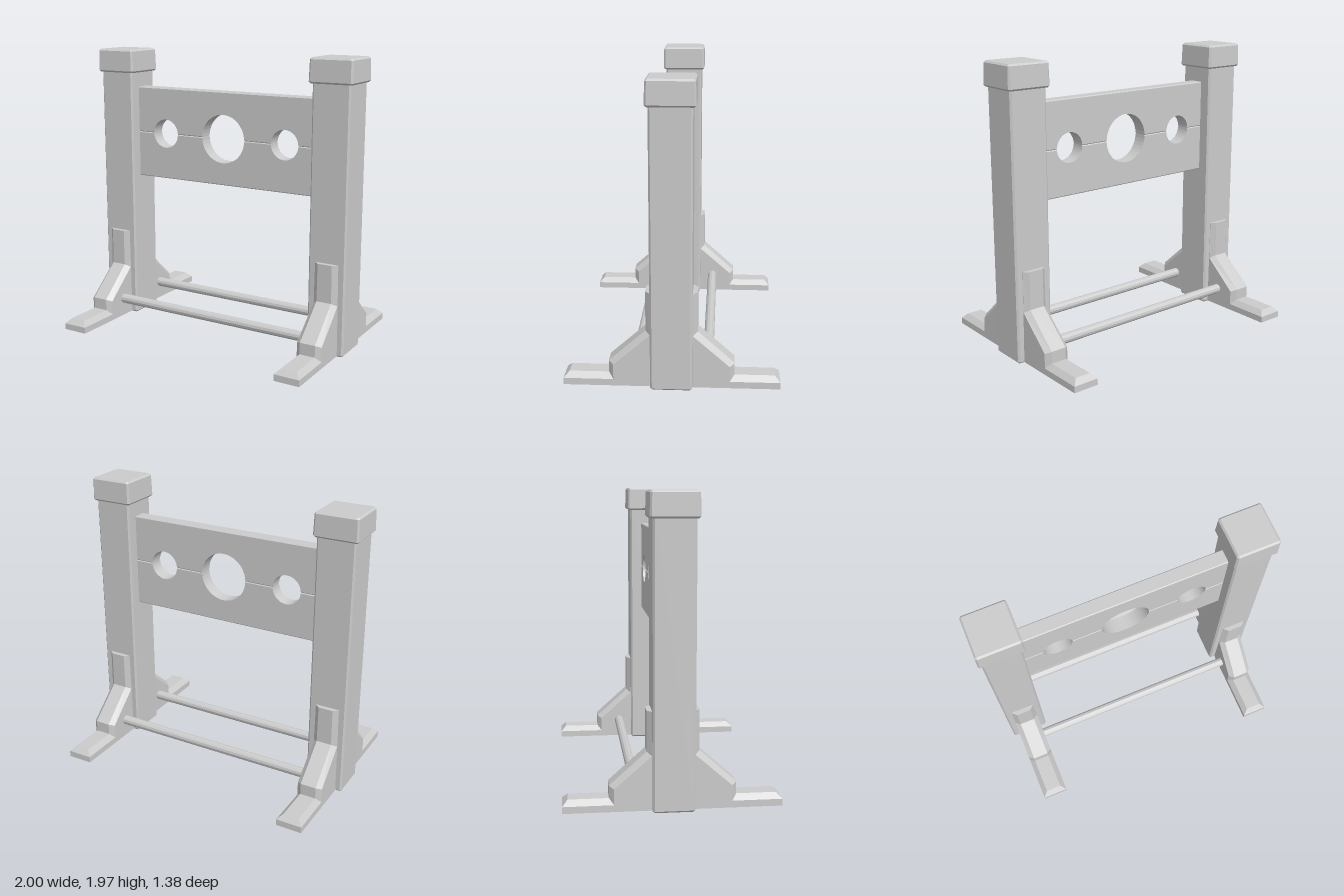
import * as THREE from 'three';

const mat = new THREE.MeshStandardMaterial({ color: 0xcccccc, flatShading: true });

function mesh(name, geo) {
  const m = new THREE.Mesh(geo, mat);
  m.name = name;
  return m;
}

// Square upright block, standing on y = 0, with all edges chamfered by b
function chamferedBlock(width, height, b) {
  const h = width / 2, k = h - b;
  const shape = new THREE.Shape([
    [h, -k], [h, k], [k, h], [-k, h], [-h, k], [-h, -k], [-k, -h], [k, -h],
  ].map(([x, y]) => new THREE.Vector2(x, y)));
  const geo = new THREE.ExtrudeGeometry(shape, {
    depth: height - 2 * b, bevelEnabled: true, bevelSegments: 1,
    bevelThickness: b, bevelSize: b, bevelOffset: -b,
  });
  return geo.translate(0, 0, b).rotateX(-Math.PI / 2);
}

// Lower half of the board, its seam on y = 0, with half-round cutouts
function boardHalf() {
  const holes = [[0.48, 0.103], [0, 0.17], [-0.48, 0.103]];
  const s = new THREE.Shape();
  s.moveTo(-0.75, -0.327);
  s.lineTo(0.75, -0.327);
  s.lineTo(0.75, 0);
  for (const [x, r] of holes) {
    s.lineTo(x + r, 0);
    s.absarc(x, 0, r, 0, -Math.PI, true);
  }
  s.lineTo(-0.75, 0);
  const b = 0.006;
  const geo = new THREE.ExtrudeGeometry(s, {
    depth: 0.098 - 2 * b, curveSegments: 10, bevelEnabled: true, bevelSegments: 1,
    bevelThickness: b, bevelSize: b, bevelOffset: -b,
  }).translate(0, 0, -0.049 + b);
  // Chamfer the straight edges only: pull the hole rims back to full radius
  const p = geo.attributes.position;
  for (let i = 0; i < p.count; i++) {
    for (const [cx, r] of holes) {
      const dx = p.getX(i) - cx, dy = p.getY(i), d = Math.hypot(dx, dy);
      if (d < r + 0.01) p.setXY(i, cx + dx * r / d, dy * r / d);
    }
  }
  geo.computeVertexNormals();
  return geo;
}

// Foot and brace: side profile [z, y], and the narrower ridge profile above it
const side = [[0.69, 0.05], [0.37, 0.05], [0.37, 0.15], [0.135, 0.355], [0.135, 0.635]];
const ridge = [[0.655, 0.085], [0.4, 0.085], [0.4, 0.165], [0.165, 0.375], [0.165, 0.635]];

// Braces narrow slightly towards the top
function taper(geo, amount) {
  const p = geo.attributes.position;
  for (let i = 0; i < p.count; i++) {
    const f = 1 - amount * p.getY(i);
    p.setX(i, p.getX(i) * f);
  }
  geo.computeVertexNormals();
  return geo;
}

function braceBody() {
  const half = [[0.69, 0.006], ...side];
  const outline = [...half, ...half.map(([z, y]) => [-z, y]).reverse()];
  const shape = new THREE.Shape(outline.map(([z, y]) => new THREE.Vector2(z, y)));
  const geo = new THREE.ExtrudeGeometry(shape, { depth: 0.18, bevelEnabled: false })
    .translate(0, 0, -0.09).rotateY(-Math.PI / 2);
  return taper(geo, 0.12);
}

// Chamfered strip running up the front of a brace
function braceRidge() {
  const pos = [], index = [], n = side.length;
  for (let i = 0; i < n; i++) {
    const [sz, sy] = side[i], [rz, ry] = ridge[i];
    pos.push(-0.09, sy, sz, -0.055, ry, rz, 0.055, ry, rz, 0.09, sy, sz);
  }
  for (let i = 0; i < n - 1; i++) {
    for (let j = 0; j < 3; j++) {
      const a = i * 4 + j, c = a + 4;
      index.push(a, a + 1, c, a + 1, c + 1, c);
    }
  }
  // Sloped toe and flat top
  const e = (n - 1) * 4;
  index.push(0, 3, 2, 0, 2, 1, e, e + 1, e + 2, e, e + 2, e + 3);
  const geo = new THREE.BufferGeometry();
  geo.setAttribute('position', new THREE.Float32BufferAttribute(pos, 3));
  geo.setIndex(index);
  return taper(geo.toNonIndexed(), 0.12);
}

// Post cap flaring slightly towards its lower edge
function capGeometry() {
  const geo = chamferedBlock(0.307, 0.165, 0.012);
  const p = geo.attributes.position;
  for (let i = 0; i < p.count; i++) {
    const f = 1 - 0.03 * p.getY(i) / 0.165;
    p.setX(i, p.getX(i) * f);
    p.setZ(i, p.getZ(i) * f);
  }
  geo.computeVertexNormals();
  return geo;
}

export function createModel() {
  const model = new THREE.Group();
  model.name = 'stocks';

  // Posts with caps and braced feet
  for (const [label, sx] of [['left', 1], ['right', -1]]) {
    const upright = new THREE.Group();
    upright.name = label + 'Upright';
    upright.position.x = sx * 0.847;
    const cap = mesh('cap', capGeometry());
    cap.position.y = 1.807;
    upright.add(mesh('post', chamferedBlock(0.266, 1.85, 0.012)), cap, mesh('foot', braceBody()));
    const front = mesh('frontBrace', braceRidge());
    const back = mesh('backBrace', braceRidge());
    back.rotation.y = Math.PI;
    upright.add(front, back);
    model.add(upright);
  }

  // Two board halves meeting at the seam
  const lower = mesh('lowerBoard', boardHalf());
  const upper = mesh('upperBoard', boardHalf());
  upper.rotation.x = Math.PI;
  lower.position.y = upper.position.y = 1.377;
  model.add(lower, upper);

  // Round rails between the feet
  for (const [label, z] of [['front', 0.23], ['back', -0.23]]) {
    const rail = mesh(label + 'Rail', new THREE.CylinderGeometry(0.034, 0.034, 1.6, 12));
    rail.rotation.z = Math.PI / 2;
    rail.position.set(0, 0.135, z);
    model.add(rail);
  }
  return model;
}
